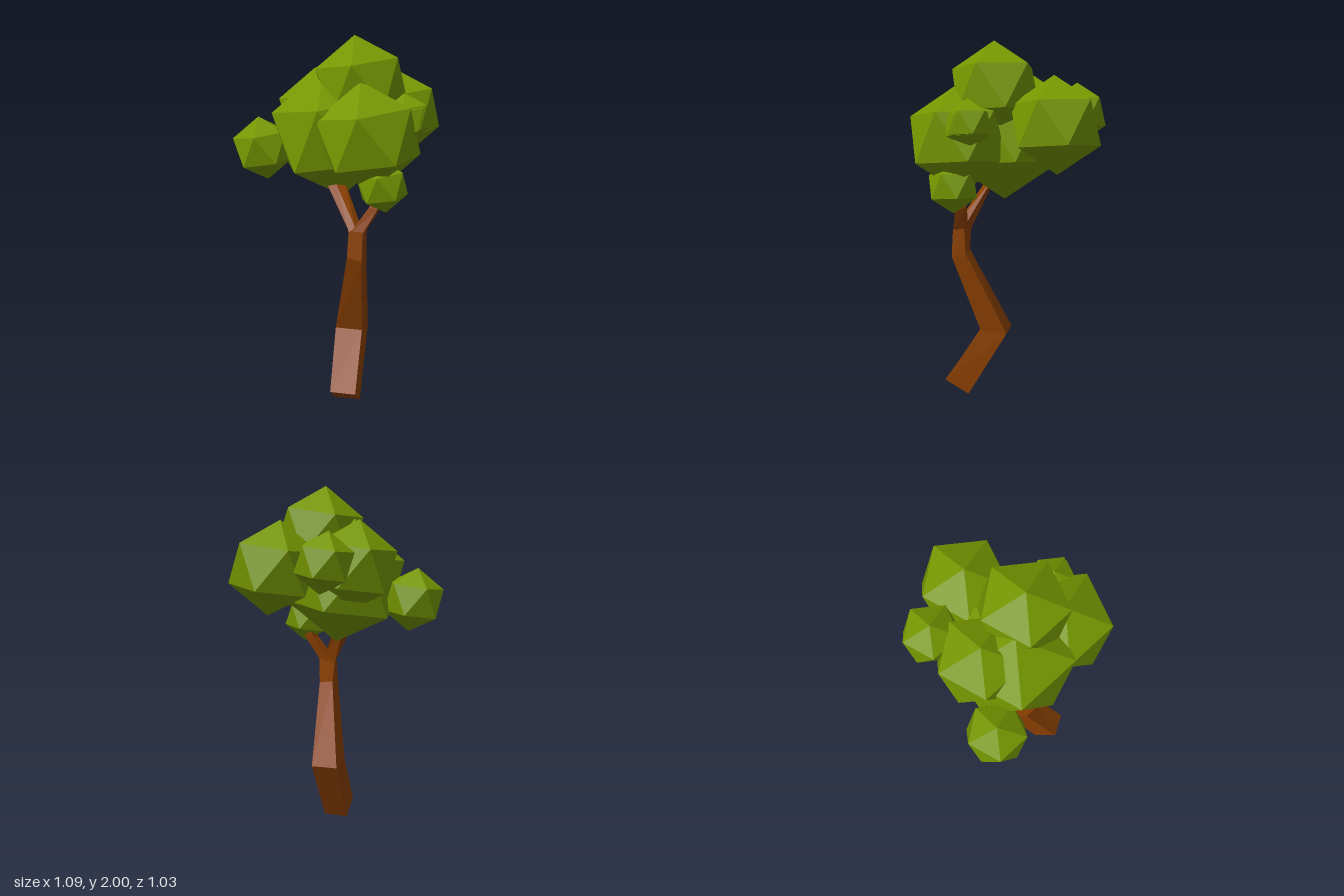
import * as THREE from 'three';

const bark = new THREE.MeshStandardMaterial({ color: 0x8b4000, flatShading: true });
const leaf = new THREE.MeshStandardMaterial({ color: 0x769600, flatShading: true });

// Skin a stack of four-cornered rings (front-left, front-right, back-right, back-left), capped at both ends
function loft(name, rings) {
  const pos = [];
  const quad = (a, b, c, d) => pos.push(...a, ...b, ...c, ...a, ...c, ...d);
  for (let r = 0; r < rings.length - 1; r++) {
    for (let i = 0; i < 4; i++) {
      const j = (i + 1) % 4;
      quad(rings[r][i], rings[r][j], rings[r + 1][j], rings[r + 1][i]);
    }
  }
  const [a, b, c, d] = rings[0];
  quad(d, c, b, a);
  quad(...rings[rings.length - 1]);
  const geo = new THREE.BufferGeometry();
  geo.setAttribute('position', new THREE.Float32BufferAttribute(pos, 3));
  geo.computeVertexNormals();
  const mesh = new THREE.Mesh(geo, bark);
  mesh.name = name;
  return mesh;
}

// Icosahedron standing on a corner, turned and leaning slightly
function leafGeometry() {
  const geo = new THREE.IcosahedronGeometry(1, 0);
  geo.rotateX(-Math.atan((1 + Math.sqrt(5)) / 2));
  geo.rotateY(THREE.MathUtils.degToRad(16));
  geo.rotateZ(0.12);
  geo.rotateX(0.08);
  return geo;
}

export function createModel() {
  const tree = new THREE.Group();
  tree.name = 'tree';

  // Crooked trunk with a slanted foot
  tree.add(loft('trunk', [
    [[0.11, 0.08, 0.39], [0.25, 0.08, 0.365], [0.217, 0, 0.235], [0.075, 0, 0.265]],
    [[0.05, 0.385, 0.2], [0.195, 0.38, 0.165], [0.165, 0.365, 0.02], [0.01, 0.37, 0.05]],
    [[0.18, 0.83, 0.325], [0.26, 0.81, 0.31], [0.25, 0.83, 0.23], [0.165, 0.84, 0.24]],
    [[0.185, 0.97, 0.315], [0.26, 0.97, 0.3], [0.255, 0.98, 0.235], [0.148, 0.945, 0.24]],
  ]));

  // Fork of two branches
  tree.add(loft('rightBranch', [
    [[0.185, 0.968, 0.314], [0.22, 0.965, 0.3], [0.22, 0.965, 0.24], [0.148, 0.943, 0.24]],
    [[0.175, 0.985, 0.305], [0.215, 0.99, 0.295], [0.215, 1.0, 0.236], [0.145, 0.96, 0.238]],
    [[0.005, 1.19, 0.205], [0.055, 1.2, 0.2], [0.07, 1.23, 0.14], [0.015, 1.23, 0.145]],
  ]));
  tree.add(loft('leftBranch', [
    [[0.19, 0.96, 0.312], [0.258, 0.96, 0.3], [0.253, 0.97, 0.236], [0.19, 0.96, 0.24]],
    [[0.28, 1.1, 0.265], [0.325, 1.09, 0.255], [0.325, 1.1, 0.195], [0.28, 1.11, 0.205]],
    [[0.32, 1.25, 0.22], [0.36, 1.24, 0.21], [0.36, 1.25, 0.17], [0.32, 1.26, 0.18]],
  ]));

  // Leaf clumps: x, y, z, radius
  const clumps = {
    topClump: [0.15, 1.738, 0.085, 0.264],
    backLeftClump: [0.203, 1.557, -0.28, 0.264],
    backRightClump: [-0.138, 1.6, -0.295, 0.17],
    rightClump: [-0.138, 1.565, -0.012, 0.258],
    coreClump: [-0.008, 1.47, 0.11, 0.356],
    frontLeftClump: [0.27, 1.472, 0.253, 0.295],
    lowRightClump: [-0.397, 1.375, 0.21, 0.178],
    sideLeftClump: [0.435, 1.57, 0.12, 0.132],
    sideLeftLowerClump: [0.435, 1.56, 0.14, 0.125],
    lowLeftClump: [0.352, 1.22, 0.255, 0.145],
  };
  const geo = leafGeometry();
  const crown = new THREE.Group();
  crown.name = 'crown';
  for (const [name, [x, y, z, r]] of Object.entries(clumps)) {
    const clump = new THREE.Mesh(geo, leaf);
    clump.name = name;
    clump.position.set(x, y, z);
    clump.scale.setScalar(r);
    crown.add(clump);
  }
  tree.add(crown);
  return tree;
}
